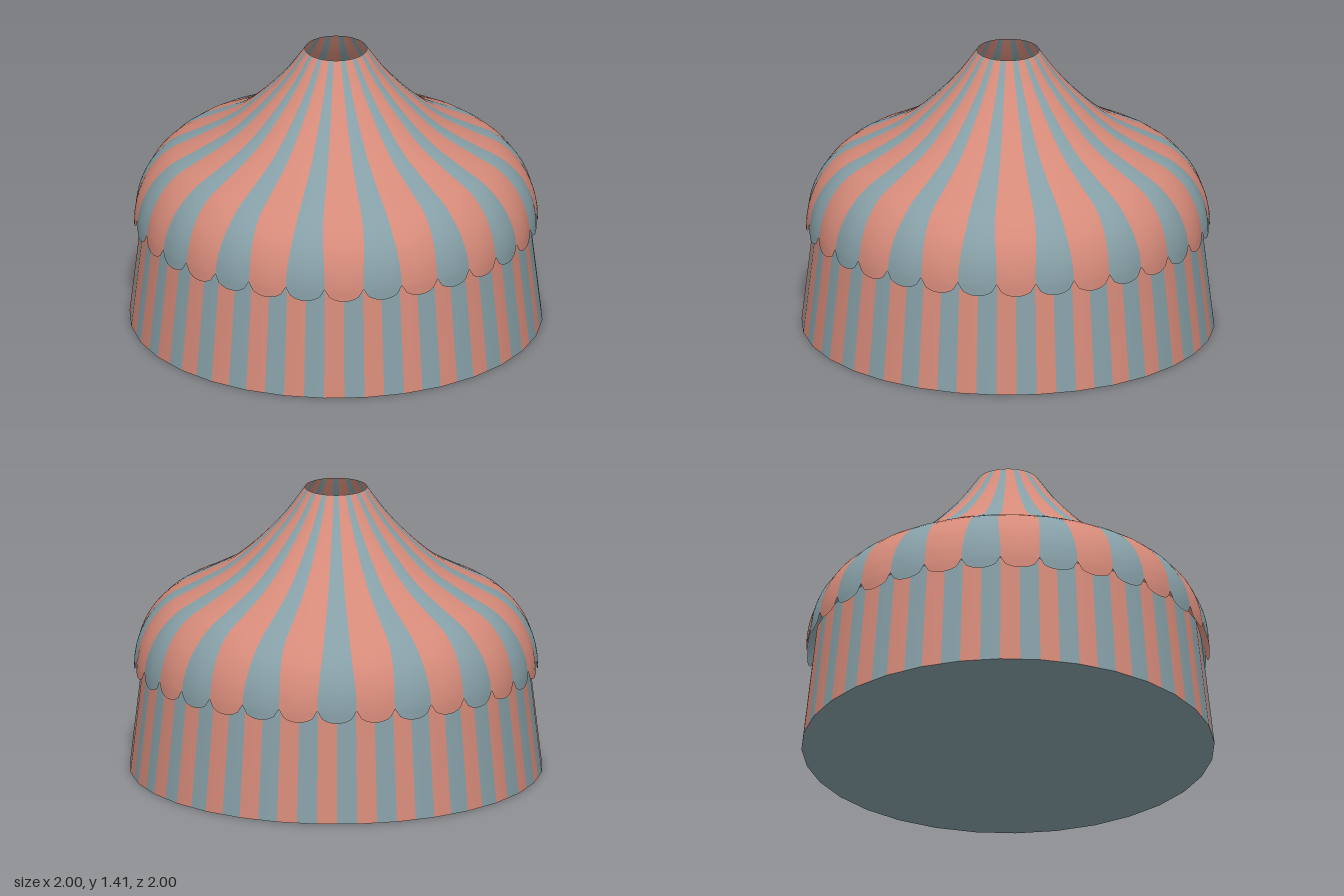
import * as THREE from 'three';
import { mergeGeometries } from 'three/addons/utils/BufferGeometryUtils.js';

const GORES = 32;
const STEP = (Math.PI * 2) / GORES;
const WALL_SLOPE = 0.115;

// Roof silhouette from the crown opening down to the hem
const roofProfile = new THREE.SplineCurve([
  [0.15, 1.41], [0.25, 1.27], [0.385, 1.125], [0.52, 1.01], [0.68, 0.92],
  [0.81, 0.85], [0.9, 0.755], [0.95, 0.65], [0.968, 0.56],
].map(([r, y]) => new THREE.Vector2(r, y)));

// Grid patch whose vertices are placed by rule(u across, v downwards, target)
function patch(cols, rows, rule) {
  const geo = new THREE.PlaneGeometry(1, 1, cols, rows);
  const pos = geo.attributes.position;
  const p = new THREE.Vector3();
  for (let i = 0; i < pos.count; i++) {
    rule(pos.getX(i) + 0.5, 0.5 - pos.getY(i), p);
    pos.setXYZ(i, p.x, p.y, p.z);
  }
  geo.computeVertexNormals();
  return geo;
}

// One roof panel; blue panels narrow above the hem
function roofGore(index) {
  const isBlue = index % 2 === 1;
  return patch(8, 28, (u, v, p) => {
    const onRoof = Math.min(v / 0.9, 1);
    const c = roofProfile.getPoint(onRoof);
    const narrow = 0.2 * (1 - THREE.MathUtils.smoothstep(onRoof, 0.6, 0.95));
    const width = isBlue ? 1 - narrow : 1 + narrow;
    const angle = (index + 0.5 + (u - 0.5) * width) * STEP;
    // rounded scallop below the hem line
    const drop = Math.max(0, (v - 0.9) / 0.1);
    const round = Math.sqrt(Math.max(0, 1 - (2 * u - 1) ** 2));
    const puff = 0.007 * Math.sin(Math.PI * u) * onRoof;
    const r = c.x + puff + 0.002 * drop;
    p.set(Math.sin(angle) * r, c.y - drop * 0.06 * round, Math.cos(angle) * r);
  });
}

// One wall stripe, half of a flat side of the sloping wall, shaded as a round cone
function wallStripe(index) {
  const a = Math.floor(index / 2) * STEP;
  const b = a + STEP;
  const geo = patch(1, 4, (u, v, p) => {
    const t = (index % 2) * 0.5 + u * 0.5;
    const y = 0.57 * (1 - v);
    const r = 1 - WALL_SLOPE * y;
    p.set(
      r * THREE.MathUtils.lerp(Math.sin(a), Math.sin(b), t),
      y,
      r * THREE.MathUtils.lerp(Math.cos(a), Math.cos(b), t),
    );
  });
  const { position, normal } = geo.attributes;
  const n = new THREE.Vector3();
  for (let i = 0; i < position.count; i++) {
    n.set(position.getX(i), 0, position.getZ(i)).normalize();
    n.y = WALL_SLOPE;
    n.normalize();
    normal.setXYZ(i, n.x, n.y, n.z);
  }
  return geo;
}

// Merge every second piece, starting at first
function everySecond(count, first, build) {
  const parts = [];
  for (let i = first; i < count; i += 2) parts.push(build(i));
  return mergeGeometries(parts);
}

export function createModel() {
  const model = new THREE.Group();
  model.name = 'stripedTent';

  const pink = new THREE.MeshStandardMaterial({ color: 0xd58a79, side: THREE.DoubleSide });
  pink.name = 'salmonCanvas';
  const blue = new THREE.MeshStandardMaterial({ color: 0x869fa6, side: THREE.DoubleSide });
  blue.name = 'greyBlueCanvas';

  const add = (name, geometry, material) => {
    const mesh = new THREE.Mesh(geometry, material);
    mesh.name = name;
    model.add(mesh);
  };

  // Roof with scalloped hem and open crown
  add('pinkRoofPanels', everySecond(GORES, 0, roofGore), pink);
  add('blueRoofPanels', everySecond(GORES, 1, roofGore), blue);

  // Sloping striped wall
  add('pinkWallStripes', everySecond(GORES * 2, 0, wallStripe), pink);
  add('blueWallStripes', everySecond(GORES * 2, 1, wallStripe), blue);

  // Flat floor closing the base
  const floor = new THREE.CircleGeometry(1, GORES);
  floor.rotateX(Math.PI / 2);
  add('floor', floor, blue);

  return model;
}
